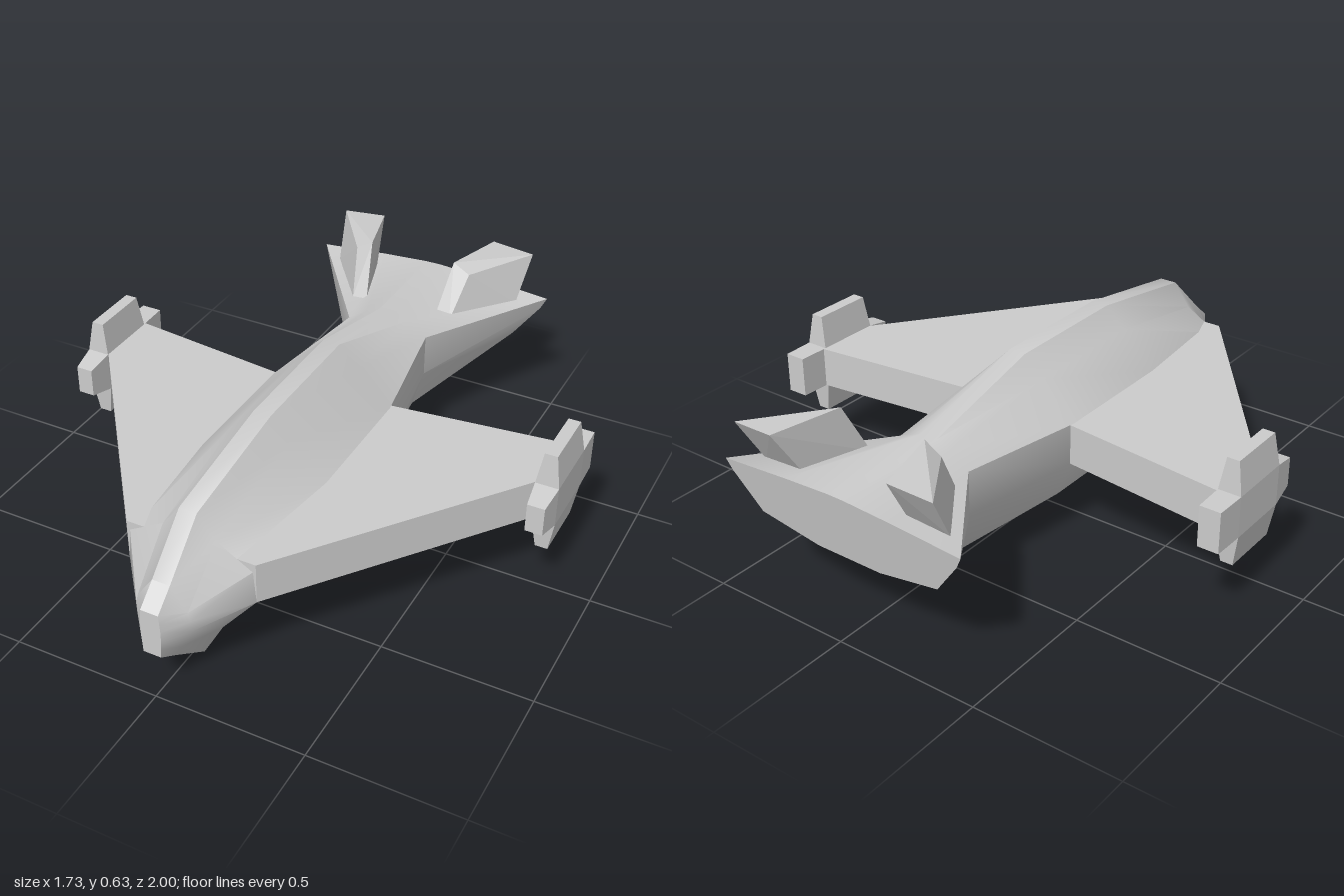
import * as THREE from 'three';
import { toCreasedNormals } from 'three/addons/utils/BufferGeometryUtils.js';
import { ConvexGeometry } from 'three/addons/geometries/ConvexGeometry.js';

const grey = new THREE.MeshStandardMaterial({ color: 0xcccccc });

// Convex solid from corner points, mirrored in x by side
function solid(name, side, corners) {
  const points = corners.map(([x, y, z]) => new THREE.Vector3(x * side, y, z));
  const mesh = new THREE.Mesh(new ConvexGeometry(points), grey);
  mesh.name = name;
  return mesh;
}

// Four corners in a plane of constant y or constant z
const flatY = (y, x0, x1, z0, z1) => [[x0, y, z0], [x1, y, z0], [x1, y, z1], [x0, y, z1]];
const flatZ = (z, x0, x1, y0, y1) => [[x0, y0, z], [x1, y0, z], [x1, y1, z], [x0, y1, z]];

// Skin through half sections given from top to belly, mirrored and capped
function loft(sections) {
  const rings = sections.map(({ z, lean = 0, half }) => {
    const right = half.map(([x, y]) => [x, y, z - lean * (y - half[half.length - 1][1])]);
    return [...right, ...right.map(([x, y, d]) => [-x, y, d]).reverse()];
  });
  const out = [];
  const tri = (...p) => p.forEach(v => out.push(...v));
  const n = rings[0].length;
  for (let i = 0; i < rings.length - 1; i++) {
    for (let j = 0; j < n; j++) {
      const k = (j + 1) % n;
      const a = rings[i][j], b = rings[i][k], c = rings[i + 1][k], d = rings[i + 1][j];
      tri(a, b, c);
      tri(a, c, d);
    }
  }
  const front = rings[0], back = rings[rings.length - 1];
  for (let j = 1; j < n - 1; j++) {
    tri(front[0], front[j + 1], front[j]);
    tri(back[0], back[j], back[j + 1]);
  }
  const geometry = new THREE.BufferGeometry();
  geometry.setAttribute('position', new THREE.Float32BufferAttribute(out, 3));
  return toCreasedNormals(geometry, 0.75);
}

export function createModel() {
  const model = new THREE.Group();
  model.name = 'spacecraft';

  // Fuselage flaring into a wide tail
  const middle = [[0.03, 0.61], [0.1, 0.54], [0.22, 0.42], [0.22, 0.28], [0.16, 0.14], [0.05, 0.14]];
  const fuselage = new THREE.Mesh(loft([
    { z: 1, half: [[0.03, 0.33], [0.032, 0.3], [0.034, 0.27], [0.034, 0.23], [0.032, 0.2], [0.03, 0.17]] },
    { z: 0.93, half: [[0.03, 0.39], [0.085, 0.31], [0.092, 0.28], [0.092, 0.24], [0.06, 0.17], [0.03, 0.12]] },
    { z: 0.77, half: [[0.03, 0.54], [0.09, 0.46], [0.21, 0.39], [0.22, 0.28], [0.1, 0.13], [0.03, 0]] },
    { z: 0.33, half: middle },
    { z: -0.13, half: middle },
    { z: -0.57, half: [[0.03, 0.5], [0.08, 0.48], [0.15, 0.43], [0.15, 0.28], [0.11, 0.14], [0.05, 0.09]] },
    { z: -0.94, lean: 0.17, half: [[0.03, 0.49], [0.2, 0.48], [0.45, 0.46], [0.43, 0.42], [0.34, 0.3], [0.12, 0.26]] },
  ]), grey);
  fuselage.name = 'fuselage';
  model.add(fuselage);

  for (const side of [1, -1]) {
    const label = side > 0 ? 'left' : 'right';

    // Slab wing with swept leading edge
    const plan = [[0.1, 0.77], [0.22, 0.77], [0.8, 0.01], [0.8, -0.21], [0.22, -0.135], [0.1, -0.13]];
    model.add(solid(label + 'Wing', side, [0.28, 0.42].flatMap(y => plan.map(([x, z]) => [x, y, z]))));

    // Cross-shaped wingtip pod: core and four tapered arms
    const pod = new THREE.Group();
    pod.name = label + 'WingtipPod';
    const topRoot = flatY(0.42, 0.787, 0.865, 0.03, -0.2);
    const lowRoot = flatY(0.28, 0.787, 0.865, 0.03, -0.2);
    pod.add(solid('podCore', side, [...topRoot, ...lowRoot]));
    pod.add(solid('upperArm', side, [...topRoot, ...flatY(0.53, 0.805, 0.847, 0.02, -0.19)]));
    pod.add(solid('lowerArm', side, [...lowRoot, ...flatY(0.17, 0.805, 0.847, 0.02, -0.19)]));
    pod.add(solid('frontArm', side, [
      ...flatZ(0.03, 0.787, 0.865, 0.28, 0.42), ...flatZ(0.12, 0.797, 0.855, 0.3, 0.4)]));
    pod.add(solid('rearArm', side, [
      ...flatZ(-0.2, 0.787, 0.865, 0.28, 0.42), ...flatZ(-0.31, 0.79, 0.862, 0.28, 0.42)]));
    model.add(pod);

    // Swept tail fin splaying outward
    model.add(solid(label + 'TailFin', side, [
      [0.135, 0.455, -0.68], [0.19, 0.45, -0.68], [0.2, 0.46, -0.9], [0.355, 0.455, -0.9],
      [0.16, 0.635, -0.77], [0.22, 0.6, -0.77], [0.22, 0.625, -1], [0.375, 0.615, -0.99],
    ]));
  }
  return model;
}
